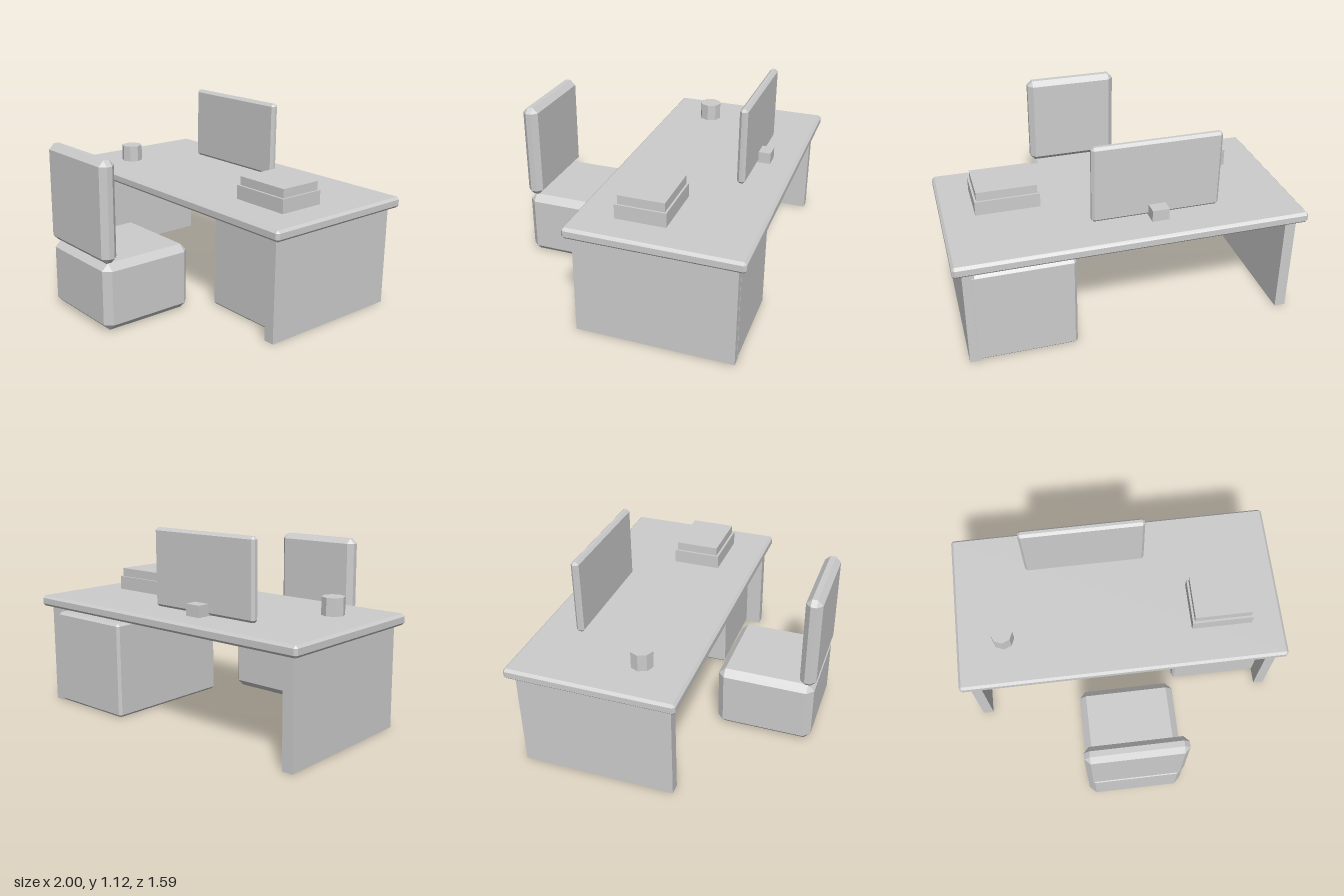
import * as THREE from 'three';
import { ConvexGeometry } from 'three/addons/geometries/ConvexGeometry.js';

// Box between two corners with every edge chamfered by b
function chamferBox(min, max, b) {
  const c = min.map((v, i) => (v + max[i]) / 2);
  const h = min.map((v, i) => (max[i] - v) / 2);
  const points = [];
  for (const sx of [-1, 1]) for (const sy of [-1, 1]) for (const sz of [-1, 1]) {
    const s = [sx, sy, sz];
    // one point per face meeting at this corner
    for (let face = 0; face < 3; face++) {
      points.push(new THREE.Vector3(...h.map((v, i) => c[i] + s[i] * (i === face ? v : v - b))));
    }
  }
  return new ConvexGeometry(points);
}

// Plain box between two corners
function plainBox(min, max) {
  const size = max.map((v, i) => v - min[i]);
  return new THREE.BoxGeometry(...size).translate(...min.map((v, i) => (v + max[i]) / 2));
}

export function createModel() {
  const model = new THREE.Group();
  model.name = 'deskWithChair';
  const grey = new THREE.MeshStandardMaterial({ color: 0xcccccc });
  grey.name = 'light grey';

  const add = (parent, name, geometry) => {
    const mesh = new THREE.Mesh(geometry, grey);
    mesh.name = name;
    parent.add(mesh);
  };
  const group = (name) => {
    const g = new THREE.Group();
    g.name = name;
    model.add(g);
    return g;
  };

  // Desk: top, two panel legs and a drawer cabinet
  const desk = group('desk');
  add(desk, 'deskTop', chamferBox([-1, 0.602, -0.797], [1, 0.667, 0.203], 0.015));
  add(desk, 'rightLeg', plainBox([-0.95, 0, -0.75], [-0.885, 0.602, 0.163]));
  add(desk, 'leftLeg', plainBox([0.885, 0, -0.75], [0.95, 0.602, 0.163]));
  add(desk, 'cabinet', chamferBox([0.335, 0, -0.751], [0.915, 0.568, 0.065], 0.015));

  // Chair: seat block and backrest
  const chair = group('chair');
  add(chair, 'seat', chamferBox([-0.293, 0, 0.208], [0.29, 0.4, 0.79], 0.04));
  add(chair, 'backrest', chamferBox([-0.293, 0.402, 0.7], [0.29, 0.983, 0.797], 0.032));

  // Monitor: screen with a small foot behind it
  const monitor = group('monitor');
  add(monitor, 'screen', chamferBox([-0.543, 0.669, -0.572], [0.203, 1.125, -0.524], 0.015));
  add(monitor, 'foot', plainBox([-0.22, 0.66, -0.645], [-0.122, 0.735, -0.55]));

  // Stack of two books
  const books = group('books');
  add(books, 'lowerBook', plainBox([0.437, 0.66, -0.317], [0.808, 0.751, -0.023]));
  add(books, 'upperBook', plainBox([0.45, 0.751, -0.305], [0.796, 0.803, -0.037]));

  // Eight-sided cup
  const cup = new THREE.CylinderGeometry(0.067, 0.067, 0.11, 8).toNonIndexed();
  cup.computeVertexNormals();
  add(model, 'cup', cup.translate(-0.712, 0.715, -0.09));

  return model;
}
